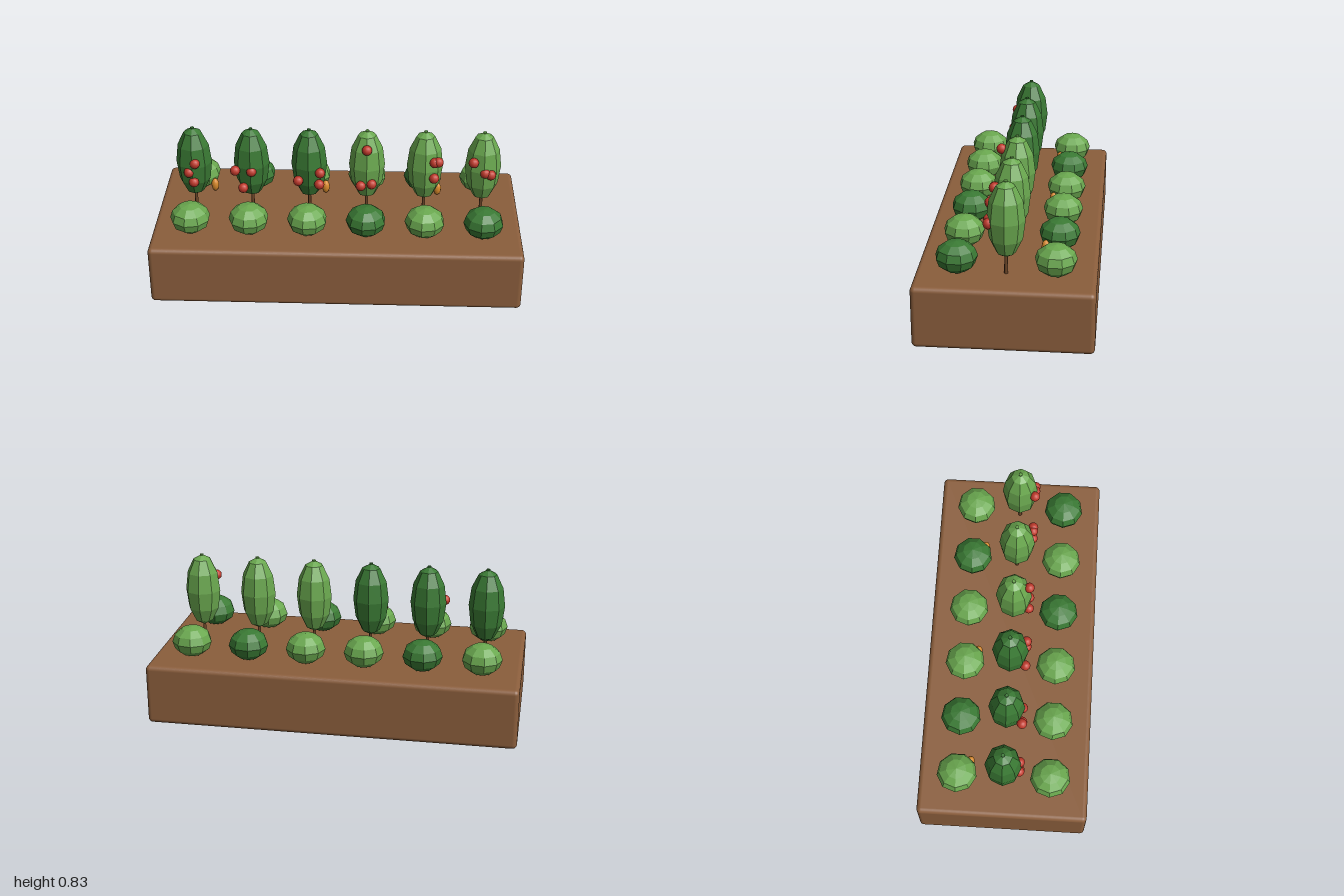
import * as THREE from 'three';
import { RoundedBoxGeometry } from 'three/addons/geometries/RoundedBoxGeometry.js';

const TOP = 0.333; // height of the planter rim

function material(name, color, flatShading = false) {
  const m = new THREE.MeshStandardMaterial({ color, flatShading });
  m.name = name;
  return m;
}

export function createModel() {
  const wood = material('planter brown', 0x8b5e3c);
  const earth = material('soil brown', 0x4a3024);
  const bark = material('stem brown', 0x6b4527);
  const light = material('light leaf green', 0x6aa84f, true);
  const dark = material('dark leaf green', 0x3a7a34, true);
  const red = material('fruit red', 0xc0392b);
  const orange = material('root orange', 0xd98a2b);

  const model = new THREE.Group();
  model.name = 'planterBed';

  function add(name, geometry, mat, x, y, z, parent = model) {
    const mesh = new THREE.Mesh(geometry, mat);
    mesh.name = name;
    mesh.position.set(x, y, z);
    parent.add(mesh);
    return mesh;
  }

  // Planter with a soil bed almost flush with its top
  add('planter', new RoundedBoxGeometry(2, TOP, 0.916, 4, 0.025), wood, 0, TOP / 2, 0);
  add('soil', new THREE.BoxGeometry(1.92, 0.04, 0.84), earth, 0, TOP - 0.0202, 0);

  // Shared plant geometries
  const bushGeo = new THREE.SphereGeometry(0.1085, 9, 6).scale(1, 0.77, 1);
  const stemGeo = new THREE.CylinderGeometry(0.008, 0.01, 0.14, 8);
  const fruitGeo = new THREE.SphereGeometry(0.028, 12, 8);
  const rootGeo = new THREE.SphereGeometry(0.022, 10, 8).scale(1, 1.75, 1);
  const crownProfile = [
    [0, -0.206], [0.049, -0.178], [0.085, -0.103], [0.098, 0], [0.085, 0.103],
    [0.049, 0.178], [0.01, 0.2], [0.01, 0.207], [0, 0.207],
  ].map(([r, y]) => new THREE.Vector2(r, y));
  const crownGeo = new THREE.LatheGeometry(crownProfile, 8);

  // One entry per column: leaf colours and fruit positions (x offset, y)
  const columns = [
    { front: light, tree: dark, back: light, root: true, fruit: [[0.015, 0.655], [-0.02, 0.6], [0.005, 0.54]] },
    { front: light, tree: dark, back: dark, fruit: [[-0.083, 0.617], [0.005, 0.612], [-0.042, 0.51]] },
    { front: light, tree: dark, back: light, root: true, fruit: [[-0.057, 0.56], [0.063, 0.61], [0.058, 0.54]] },
    { front: dark, tree: light, back: light, fruit: [[0, 0.755], [-0.032, 0.535], [0.027, 0.547]] },
    { front: light, tree: light, back: dark, root: true, fruit: [[0.049, 0.686], [0.069, 0.69], [0.049, 0.59]] },
    { front: dark, tree: light, back: light, fruit: [[-0.058, 0.69], [0.006, 0.627], [0.038, 0.617]] },
  ];

  columns.forEach((c, i) => {
    const x = (i - 2.5) * 0.316;
    add('frontBush', bushGeo, c.front, x, 0.418, 0.25);
    add('backBush', bushGeo, c.back, x, 0.418, -0.25);
    if (c.root) add('rootVegetable', rootGeo, orange, x + 0.082, 0.374, -0.182);

    // Tall fruiting plant
    const plant = new THREE.Group();
    plant.name = 'fruitPlant';
    plant.position.x = x;
    model.add(plant);
    add('stem', stemGeo, bark, 0, 0.395, 0, plant);
    add('crown', crownGeo, c.tree, 0, 0.628, 0, plant);
    for (const [dx, y] of c.fruit) add('fruit', fruitGeo, red, dx, y, 0.084, plant);
  });

  return model;
}
